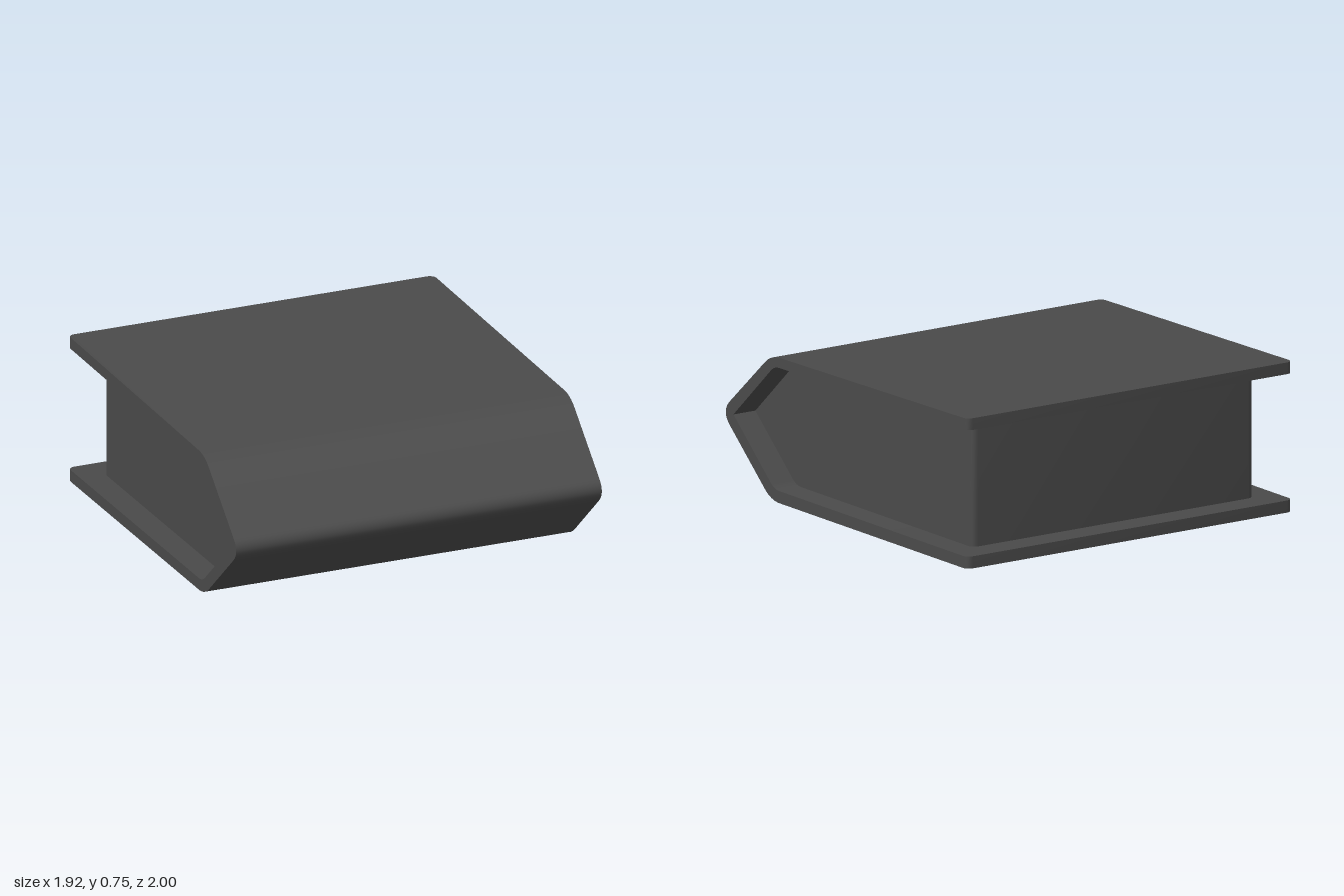
import * as THREE from 'three';
import { toCreasedNormals } from 'three/addons/utils/BufferGeometryUtils.js';

const charcoal = new THREE.MeshStandardMaterial({ color: 0x4a4a4a });
charcoal.name = 'charcoal';

// Closed profile in (z, y); each point is [z, y, cut], cut being how far the corner is rounded back
function roundedProfile(points) {
  const shape = new THREE.Shape();
  const n = points.length;
  const at = (i) => new THREE.Vector2(points[(i + n) % n][0], points[(i + n) % n][1]);
  const toward = (a, b, d) => a.clone().add(b.clone().sub(a).setLength(d));
  points.forEach(([z, y, cut = 0], i) => {
    const p = at(i);
    const start = cut ? toward(p, at(i - 1), cut) : p;
    if (i === 0) shape.moveTo(start.x, start.y);
    else shape.lineTo(start.x, start.y);
    if (cut) {
      const end = toward(p, at(i + 1), cut);
      shape.quadraticCurveTo(z, y, end.x, end.y);
    }
  });
  shape.closePath();
  return shape;
}

// Extrude the profile across x and round the two back corners as seen from above
function slab(name, points, halfWidth, back, radius) {
  const n = 5;
  const steps = 2 * n + 1;
  const geometry = new THREE.ExtrudeGeometry(roundedProfile(points), {
    depth: steps, steps, curveSegments: 8, bevelEnabled: false,
  });
  geometry.rotateY(-Math.PI / 2);
  const pos = geometry.attributes.position;
  for (let i = 0; i < pos.count; i++) {
    const slice = Math.round(-pos.getX(i));
    const side = slice <= n ? 1 : -1;
    const angle = (Math.min(slice, steps - slice) / n) * Math.PI / 2;
    pos.setX(i, side * (halfWidth - radius + radius * Math.cos(angle)));
    if (pos.getZ(i) < back + 1e-4) {
      pos.setZ(i, back + radius * (1 - Math.sin(angle)));
    }
  }
  const mesh = new THREE.Mesh(toCreasedNormals(geometry, 0.6), charcoal);
  mesh.name = name;
  return mesh;
}

export function createModel() {
  const model = new THREE.Group();
  model.name = 'wedgeSpineBook';

  // Wrapping cover: bottom board, pointed spine and slightly rising top board
  model.add(slab('cover', [
    [-1, 0], [0.627, 0, 0.07], [1.037, 0.36, 0.09], [0.627, 0.72, 0.07], [-1, 0.745],
    [-1, 0.687], [0.6, 0.67, 0.04], [0.94, 0.36], [0.6, 0.06, 0.04], [-1, 0.06],
  ], 0.96, -1, 0.035));

  // Inner block, sunk a little into the cover
  model.add(slab('innerBlock', [
    [-0.86, 0.05], [0.604, 0.05, 0.04], [0.953, 0.36], [0.604, 0.68, 0.04], [-0.86, 0.697],
  ], 0.83, -0.86, 0.035));

  return model;
}
